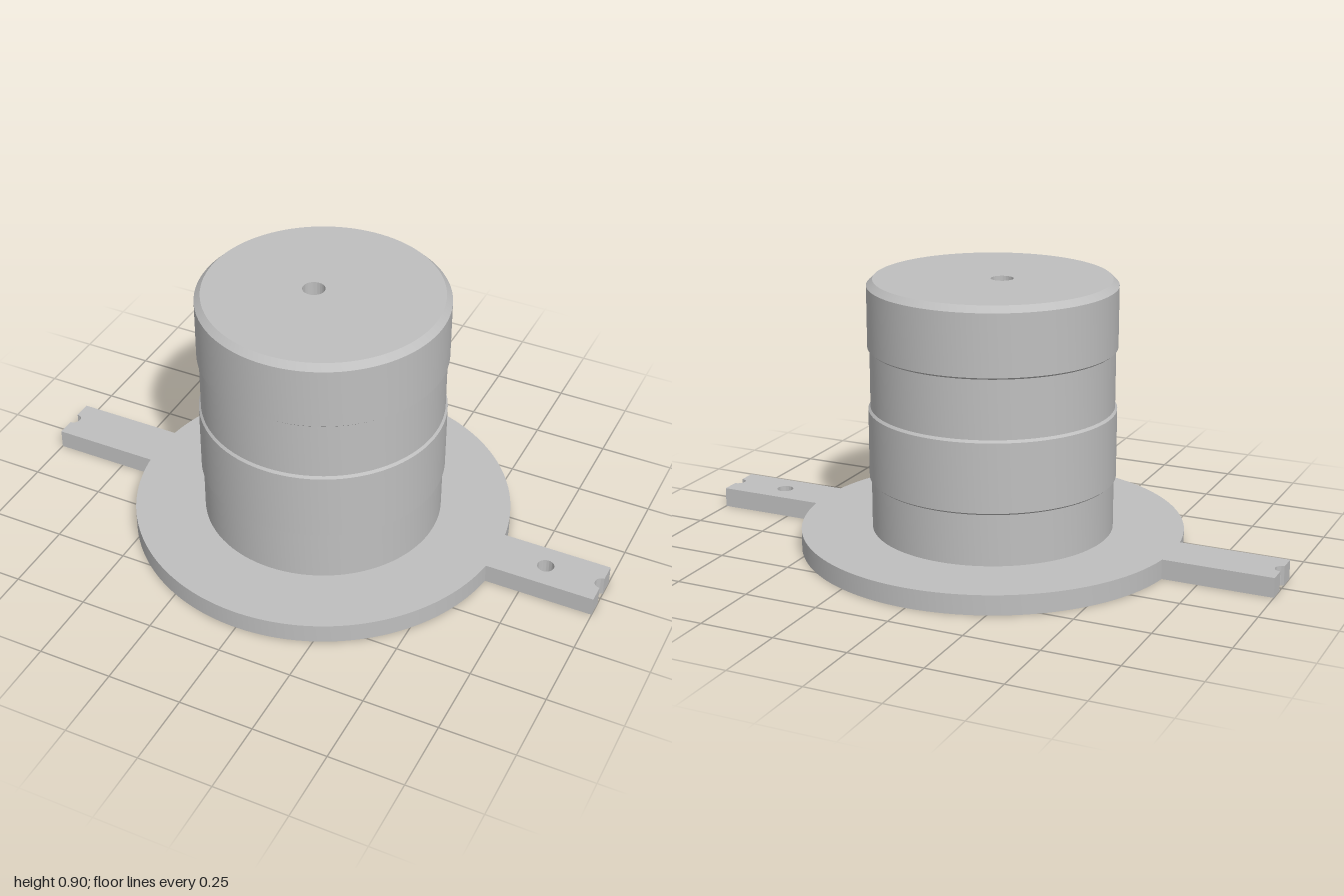
import * as THREE from 'three';
import { toCreasedNormals } from 'three/addons/utils/BufferGeometryUtils.js';

const BASE_R = 0.637, BASE_H = 0.066, ARM = 0.085, NOTCH = 0.024;
const CAP_R = 0.388, TOP = 0.904, SLOT_TOP = 0.45;

export function createModel() {
  const group = new THREE.Group();
  const grey = new THREE.MeshStandardMaterial({ color: 0xbfbfbf });
  grey.name = 'plain grey';

  const add = (name, geometry) => {
    const mesh = new THREE.Mesh(toCreasedNormals(geometry, 0.5), grey);
    mesh.name = name;
    group.add(mesh);
  };

  // Stands a flat outline up between two heights
  const slab = (shape, y0, y1) =>
    new THREE.ExtrudeGeometry(shape, { depth: y1 - y0, bevelEnabled: false, curveSegments: 48 })
      .rotateX(-Math.PI / 2).translate(0, y0, 0);

  const roundHole = (x, r) => new THREE.Path().absarc(x, 0, r, 0, Math.PI * 2, true);
  const slotHole = () => new THREE.Path([
    [-0.05, -0.19], [-0.05, 0.19], [0.05, 0.19], [0.05, -0.19], [-0.05, -0.19],
  ].map(([x, y]) => new THREE.Vector2(x, y)));
  const disc = (r) => new THREE.Shape().absarc(0, 0, r, 0, Math.PI * 2, false);

  // Round base with two notched arms, a pin hole and the underside slot
  const a = Math.asin(ARM / BASE_R);
  const base = new THREE.Shape();
  base.moveTo(1, -ARM);
  base.lineTo(1, -NOTCH);
  base.absarc(1, 0, NOTCH, -Math.PI / 2, Math.PI / 2, true);
  base.lineTo(1, ARM);
  base.absarc(0, 0, BASE_R, a, Math.PI - a, false);
  base.lineTo(-1, ARM);
  base.lineTo(-1, NOTCH);
  base.absarc(-1, 0, NOTCH, Math.PI / 2, -Math.PI / 2, true);
  base.lineTo(-1, -ARM);
  base.absarc(0, 0, BASE_R, Math.PI + a, Math.PI * 2 - a, false);
  base.lineTo(1, -ARM);
  base.holes.push(slotHole(), roundHole(0.807, 0.028));
  add('basePlate', slab(base, 0, BASE_H));

  // Outer wall of the tower with two raised bands and a chamfered rim
  const profile = [
    [0.401, BASE_H], [0.401, 0.237], [0.408, 0.243], [0.408, 0.473], [0.401, 0.481],
    [0.401, 0.675], [0.408, 0.681], [0.408, 0.884], [CAP_R, TOP],
  ].map(([r, y]) => new THREE.Vector2(r, y));
  add('towerWall', new THREE.LatheGeometry(profile, 96));

  // Core: the slot runs up inside and meets the round hole from the top
  const lower = disc(CAP_R);
  lower.holes.push(slotHole());
  add('slottedCore', slab(lower, BASE_H, SLOT_TOP));

  const upper = disc(CAP_R);
  upper.holes.push(roundHole(-0.033, 0.037));
  add('drilledCap', slab(upper, SLOT_TOP, TOP));

  return group;
}
